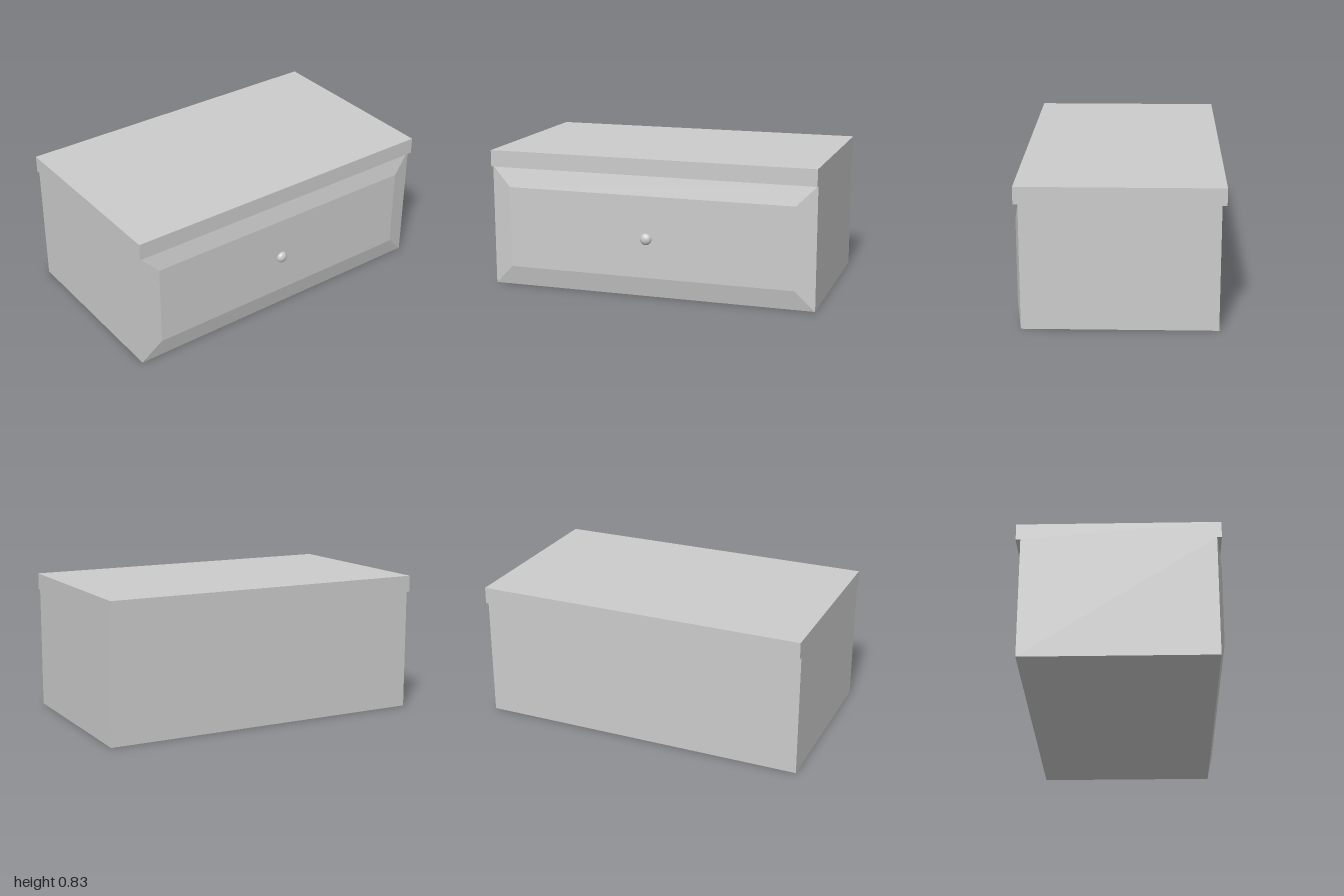
import * as THREE from 'three';

const WIDTH = 2, BODY_H = 0.735, TOP_H = 0.1;
const BACK = -0.57, SHOULDER = 0.545, FACE = 0.572, INSET = 0.12;

export function createModel() {
  const model = new THREE.Group();
  model.name = 'drawerBox';
  const material = new THREE.MeshStandardMaterial({ color: 0xcccccc });
  const add = (name, geometry, x, y, z) => {
    const mesh = new THREE.Mesh(geometry, material);
    mesh.name = name;
    mesh.position.set(x, y, z);
    model.add(mesh);
    return mesh;
  };

  // Body: a box whose last slice tapers into the bevelled drawer front
  const box = new THREE.BoxGeometry(WIDTH, BODY_H, 2, 1, 1, 2);
  const p = box.attributes.position;
  for (let i = 0; i < p.count; i++) {
    const slice = Math.round(p.getZ(i)) + 1;
    p.setZ(i, [BACK, SHOULDER, FACE][slice]);
    if (slice === 2) {
      p.setX(i, p.getX(i) - Math.sign(p.getX(i)) * INSET);
      p.setY(i, p.getY(i) - Math.sign(p.getY(i)) * INSET);
    }
  }
  const body = box.toNonIndexed();
  body.computeVertexNormals();
  add('bodyWithBevelledFront', body, 0, BODY_H / 2, 0);

  // Top slab, overhanging front and back
  const topBack = -0.597, topFront = FACE;
  add('topSlab', new THREE.BoxGeometry(WIDTH, TOP_H, topFront - topBack),
    0, BODY_H + TOP_H / 2, (topBack + topFront) / 2);

  // Flattened round knob
  const knob = add('knob', new THREE.SphereGeometry(0.035, 32, 20), -0.013, 0.356, FACE);
  knob.scale.z = 0.75;

  return model;
}
